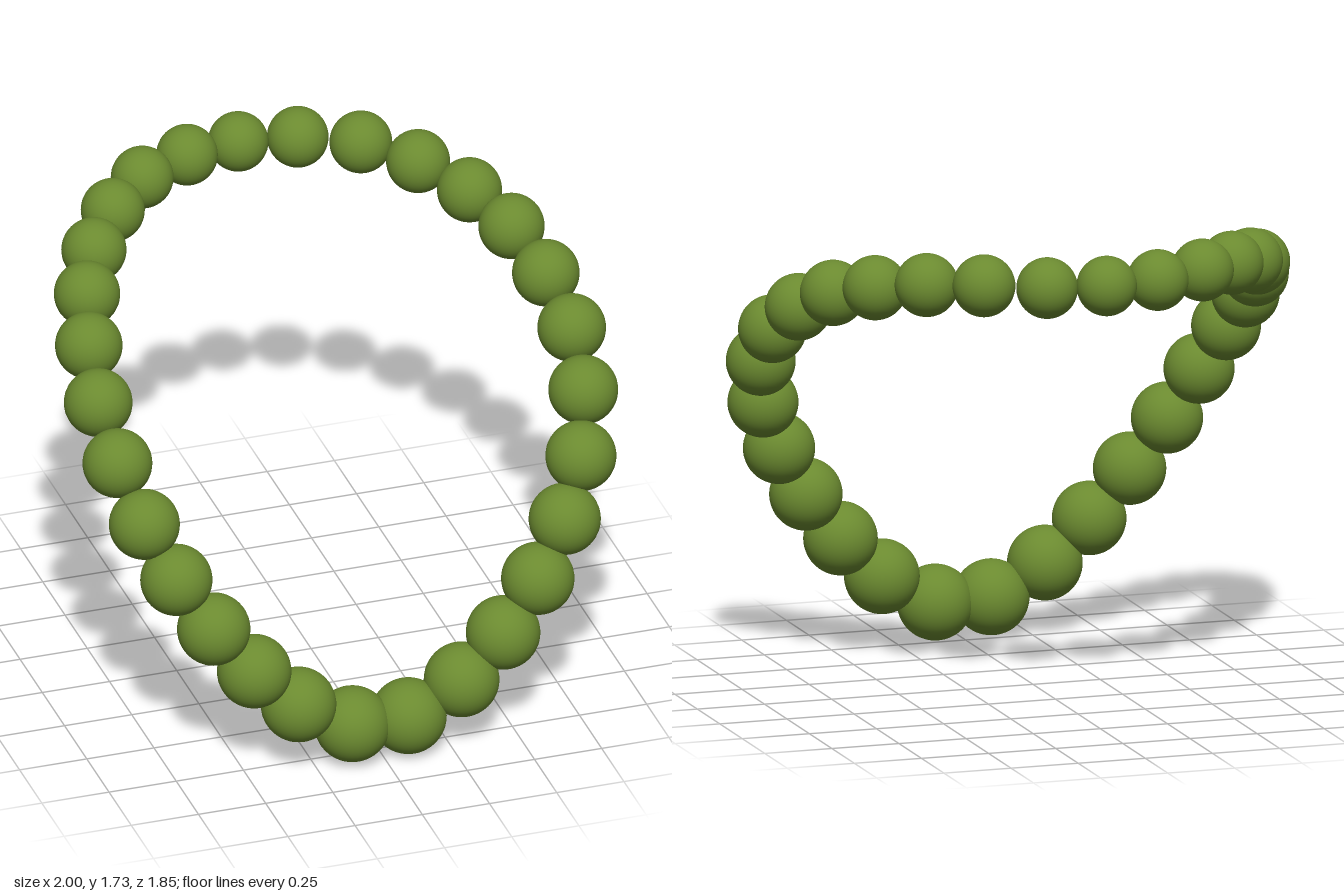
import * as THREE from 'three';

// Bead centres down one side, from the back clasp to the front drop
const side = [
  [0, 1.62, -0.82], [0.21, 1.62, -0.785], [0.41, 1.62, -0.68], [0.57, 1.60, -0.52],
  [0.70, 1.56, -0.335], [0.79, 1.505, -0.135], [0.85, 1.415, 0.07], [0.88, 1.295, 0.27],
  [0.865, 1.14, 0.445], [0.81, 0.957, 0.585], [0.72, 0.765, 0.675], [0.60, 0.577, 0.735],
  [0.46, 0.40, 0.768], [0.30, 0.247, 0.785], [0.10, 0.138, 0.79],
].map((p) => new THREE.Vector3(...p));

export function createModel() {
  const necklace = new THREE.Group();
  necklace.name = 'beadNecklace';
  const material = new THREE.MeshStandardMaterial({ color: 0x6b8a30 });
  const sphere = new THREE.SphereGeometry(1, 40, 28);

  function addBead(name, position, radius) {
    const bead = new THREE.Mesh(sphere, material);
    bead.name = name;
    bead.position.copy(position);
    bead.scale.setScalar(radius);
    necklace.add(bead);
  }

  // Beads grow steadily from the back to the front
  const last = side.length - 1;
  side.forEach((p, i) => {
    const radius = THREE.MathUtils.lerp(0.107, 0.136, i / last);
    if (i === 0) {
      addBead('backBead', p, radius);
      return;
    }
    addBead(`leftBead${i}`, p, radius);
    // The right strand hangs very slightly higher along the loop
    const q = p.clone().lerp(side[i - 1], 0.04);
    q.x *= -1;
    addBead(`rightBead${i}`, q, radius);
  });
  return necklace;
}
